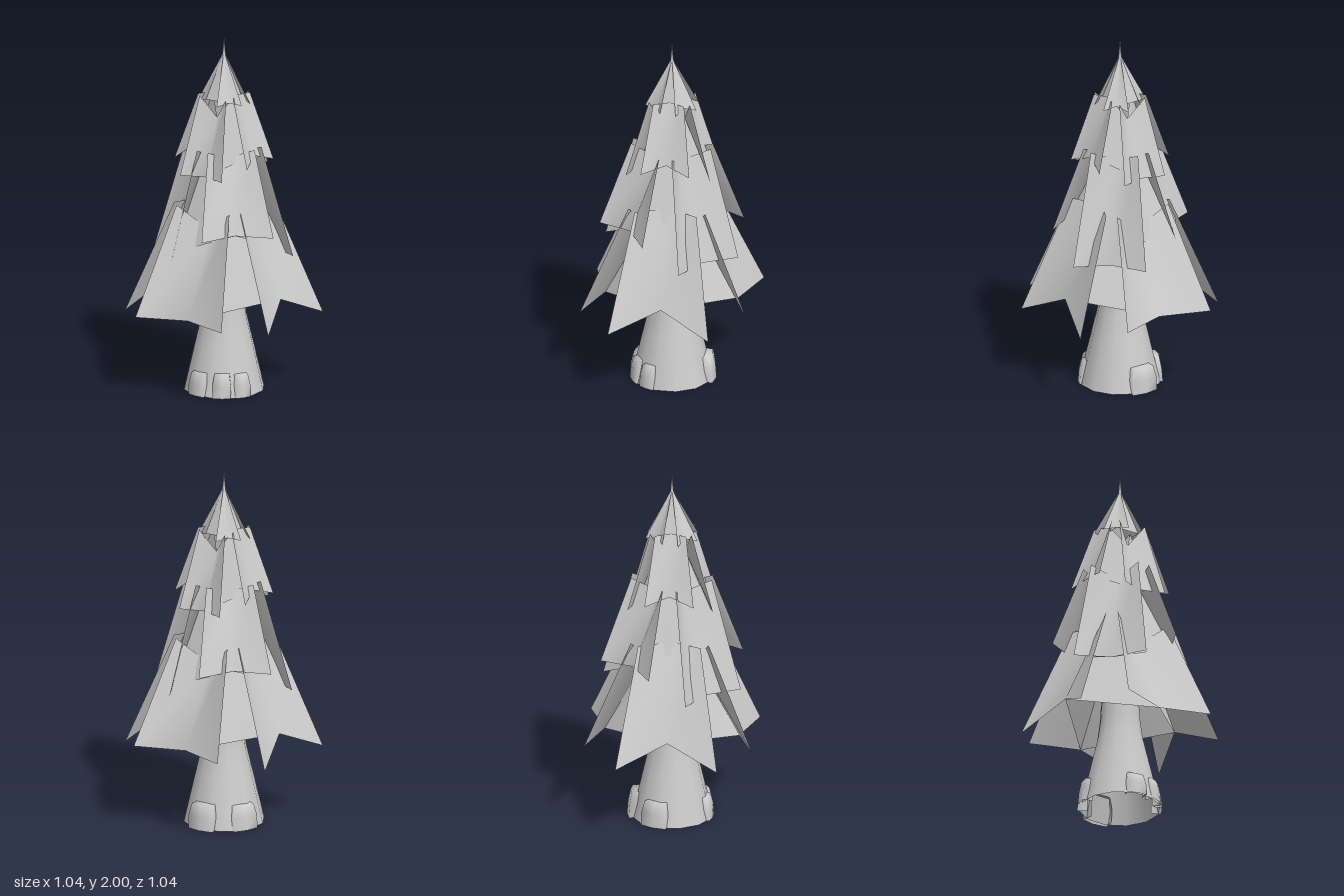
import * as THREE from 'three';

const material = new THREE.MeshStandardMaterial({ color: 0xcccccc, side: THREE.DoubleSide });

// Lofts open rows of points [x, y, z] into a surface
function loft(name, rows) {
  const n = rows[0].length, index = [];
  for (let r = 0; r < rows.length - 1; r++) {
    for (let i = 0; i < n - 1; i++) {
      const a = r * n + i, b = a + n;
      index.push(a, b, a + 1, a + 1, b, b + 1);
    }
  }
  const geometry = new THREE.BufferGeometry();
  geometry.setAttribute('position', new THREE.Float32BufferAttribute(rows.flat(2), 3));
  geometry.setIndex(index);
  geometry.computeVertexNormals();
  const mesh = new THREE.Mesh(geometry, material);
  mesh.name = name;
  return mesh;
}

// Point given outwards (u) and sideways (v) of a direction around the trunk
function polar(angle, u, y, v = 0) {
  const c = Math.cos(angle), s = Math.sin(angle);
  return [u * c - v * s, y, u * s + v * c];
}

// Each tier has four folded boughs.
// u, v: tip position outwards and sideways. hems: tip height of each bough.
// fold, topFold: radius of the fold line; lifts, dips: its height against the tips,
// shared by opposite boughs.
const tiers = [
  { name: 'bottomTier', turn: Math.PI / 4, u: 0.461, v: 0.277, topU: 0.212, topV: 0.17, top: 1.06,
    fold: 0.366, topFold: 0.13, hems: [0.432, 0.468, 0.432, 0.49], lifts: [0.125, 0], dips: [0, 0.14] },
  { name: 'lowerMiddleTier', turn: 0, u: 0.34, v: 0.2, topU: 0.18, topV: 0.13, top: 1.39,
    fold: 0.28, topFold: 0.095, hems: [0.78, 0.93, 0.78, 0.925], lifts: [0, 0.01], dips: [0.06, 0.06] },
  { name: 'upperMiddleTier', turn: Math.PI / 4, u: 0.233, v: 0.134, topU: 0.113, topV: 0.085, top: 1.67,
    fold: 0.19, topFold: 0.07, hems: [1.3, 1.24, 1.3, 1.24], lifts: [0.045, 0], dips: [0, 0.12] },
  { name: 'topTier', turn: 0, u: 0.13, v: 0.07, topU: 0.01, topV: 0.006, top: 1.885,
    fold: 0.1, topFold: 0.008, hems: [1.62, 1.63, 1.62, 1.63], lifts: [0.02, 0.01], dips: [0, 0] },
];

function makeTier(t) {
  const group = new THREE.Group();
  group.name = t.name;
  const angle = (i) => t.turn + i * Math.PI / 2;
  const foldTop = (i) => polar(angle(i), t.topFold, t.top - t.dips[i % 2]);
  const foldHem = (i) => polar(angle(i), t.fold, t.hems[i % 4] + t.lifts[i % 2]);
  for (let i = 0; i < 4; i++) {
    // Two plates meeting in the fold, flaring out to the tips
    const a = angle(i), hem = t.hems[i];
    group.add(loft('bough', [
      [polar(a, t.topU, t.top, t.topV), foldTop(i), polar(a, t.topU, t.top, -t.topV)],
      [polar(a, t.u, hem, t.v), foldHem(i), polar(a, t.u, hem, -t.v)],
    ]));
    // Inner panel from this fold to the next
    group.add(loft('innerPanel', [[foldTop(i + 1), foldTop(i)], [foldHem(i + 1), foldHem(i)]]));
  }
  return group;
}

function lathe(name, profile, sides) {
  const points = profile.map(([r, y]) => new THREE.Vector2(r, y));
  const mesh = new THREE.Mesh(new THREE.LatheGeometry(points, sides), material);
  mesh.name = name;
  return mesh;
}

// Bark slab hugging the foot of the trunk
function makeRoot(angle, height, spread, reach) {
  const arc = (r, y, k) => [1, 0.85, 0, -0.85, -1].map((s) =>
    polar(angle + s * spread * k, Math.abs(s) === 1 ? 0.18 : r, y));
  return loft('root', [
    arc(0.17, height, 0.8), arc(reach - 0.02, height - 0.005, 0.85),
    arc(reach - 0.005, height * 0.5, 1), arc(reach, 0, 0.95),
  ]);
}

export function createModel() {
  const tree = new THREE.Group();
  tree.name = 'tree';

  // Flared trunk, open at the foot
  tree.add(lathe('trunk', [[0.222, 0], [0.19, 0.14], [0.157, 0.28], [0.124, 0.42], [0.11, 0.53], [0.1, 0.7]], 12));

  // Roots around the foot: direction, height, half width, reach
  const roots = [
    [1.3, 0.13, 0.24, 0.23], [1.85, 0.135, 0.27, 0.23], [-0.8, 0.145, 0.4, 0.245],
    [-1.95, 0.14, 0.4, 0.235], [2.55, 0.13, 0.3, 0.23],
  ];
  for (const root of roots) tree.add(makeRoot(...root));

  // Foliage
  for (const tier of tiers) tree.add(makeTier(tier));

  // Thin spike at the tip
  tree.add(lathe('spike', [[0.014, 1.86], [0.008, 1.9], [0.004, 1.95], [0, 2]], 8));
  return tree;
}
